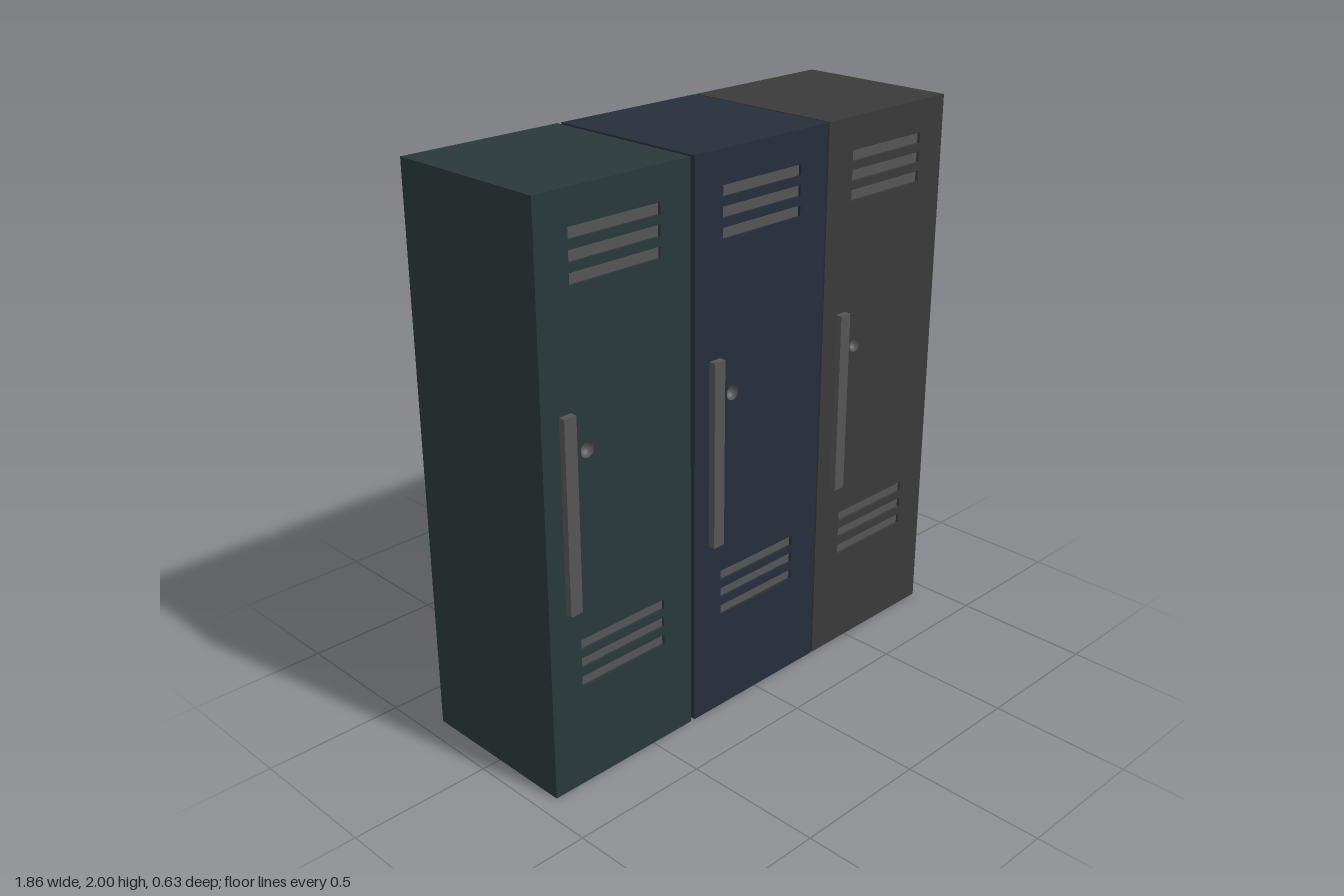
import * as THREE from 'three';

const W = 0.61, H = 2, BACK = -0.317, FRONT = 0.293, SKIN = 0.03;
const VENT_W = 0.36, VENT_H = 0.038;
const VENT_YS = [1.866, 1.798, 1.73, 0.52, 0.453, 0.385];
const LOCK = { x: -0.13, y: 1.183, r: 0.027 };

const metal = new THREE.MeshStandardMaterial({ color: 0x545454 });
const lockMetal = new THREE.MeshStandardMaterial({ color: 0x545454, side: THREE.DoubleSide });

function add(group, name, geometry, material, x = 0, y = 0, z = 0) {
  const mesh = new THREE.Mesh(geometry, material);
  mesh.name = name;
  mesh.position.set(x, y, z);
  group.add(mesh);
  return mesh;
}

function rectangle(PathType, w, h, cx, cy) {
  const path = new PathType();
  path.moveTo(cx - w / 2, cy - h / 2);
  path.lineTo(cx + w / 2, cy - h / 2);
  path.lineTo(cx + w / 2, cy + h / 2);
  path.lineTo(cx - w / 2, cy + h / 2);
  path.closePath();
  return path;
}

// Door skin pierced by the vent slots and the lock recess
function doorGeometry() {
  const shape = rectangle(THREE.Shape, W, H, 0, H / 2);
  for (const y of VENT_YS) shape.holes.push(rectangle(THREE.Path, VENT_W, VENT_H, 0, y));
  const hole = new THREE.Path();
  hole.absarc(LOCK.x, LOCK.y, LOCK.r, 0, Math.PI * 2, true);
  shape.holes.push(hole);
  return new THREE.ExtrudeGeometry(shape, { depth: SKIN, bevelEnabled: false, curveSegments: 24 });
}

function createLocker(name, x, color) {
  const locker = new THREE.Group();
  locker.name = name;
  locker.position.x = x;
  const paint = new THREE.MeshStandardMaterial({ color });

  // Cabinet and door
  const depth = FRONT - SKIN - BACK;
  add(locker, 'cabinet', new THREE.BoxGeometry(W, H, depth), paint, 0, H / 2, BACK + depth / 2);
  add(locker, 'door', doorGeometry(), paint, 0, 0, FRONT - SKIN);

  // Shallow sunken vent plates
  VENT_YS.forEach((y, i) => {
    add(locker, `vent${i + 1}`, new THREE.BoxGeometry(VENT_W, VENT_H, 0.02), metal, 0, y, FRONT - 0.02);
  });

  // Concave round lock
  const bowl = new THREE.SphereGeometry(LOCK.r, 24, 8, 0, Math.PI * 2, 0, Math.PI / 2);
  bowl.rotateX(-Math.PI / 2);
  add(locker, 'lockRecess', bowl, lockMetal, LOCK.x, LOCK.y, FRONT);

  // Vertical pull handle
  add(locker, 'handle', new THREE.BoxGeometry(0.047, 0.665, 0.03), metal, -0.213, 0.987, FRONT + 0.009);
  return locker;
}

export function createModel() {
  const model = new THREE.Group();
  model.name = 'lockerRow';
  model.add(
    createLocker('rightLocker', -0.625, 0x293839),
    createLocker('middleLocker', 0.002, 0x262e3b),
    createLocker('leftLocker', 0.62, 0x3a3a3a),
  );
  return model;
}
